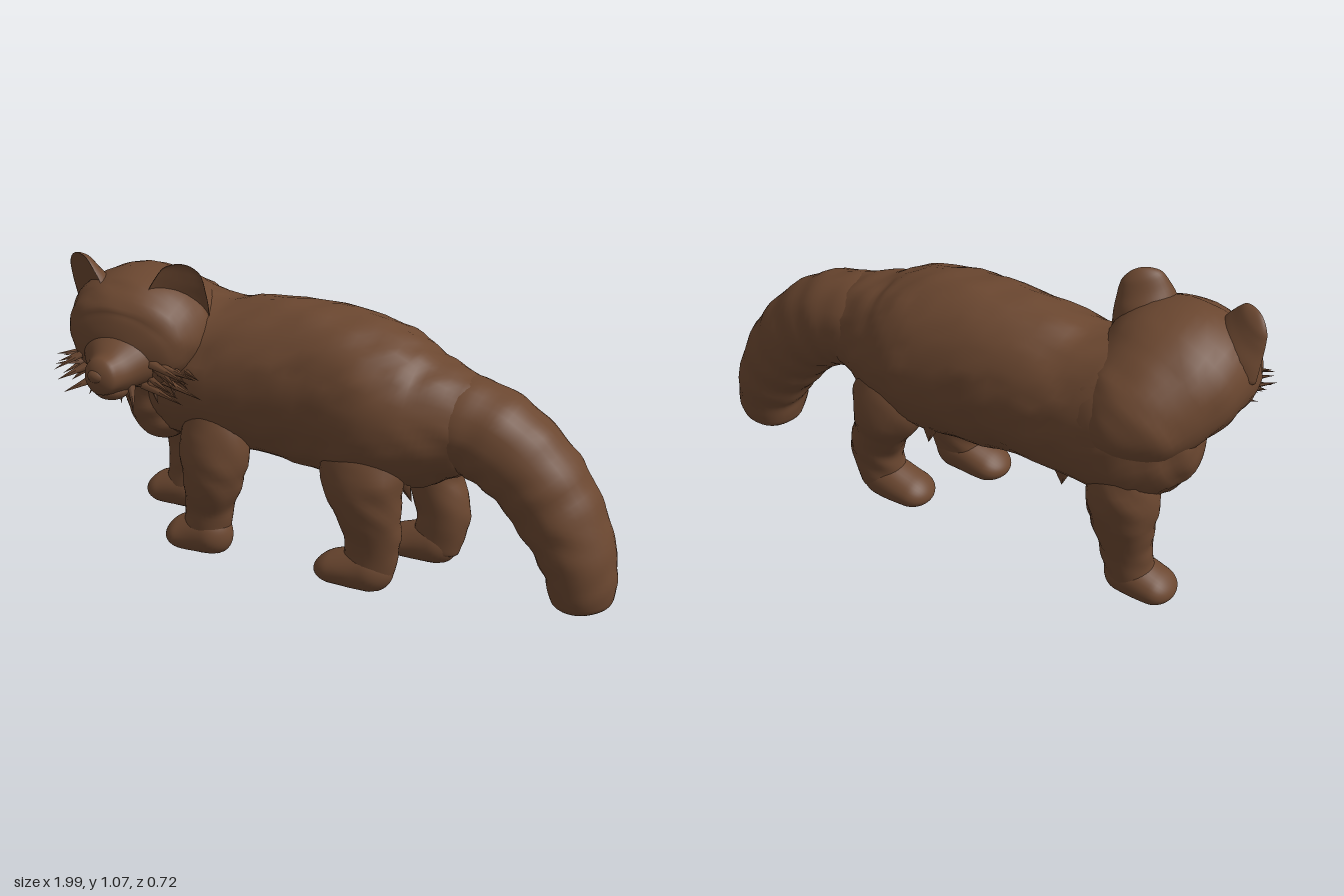
import * as THREE from 'three';

const brownFur = new THREE.MeshStandardMaterial({ color: 0x6b4730 });
brownFur.name = 'brown fur';

// Small seeded generator for tufts and whiskers
let seed = 7;
const rand = () => (seed = (seed * 16807) % 2147483647) / 2147483647;
const range = (a, b) => a + (b - a) * rand();

// Smooth tube through sections [x, y, z, radius in plane, radius along side], rounded at both ends, flat on the ground
function loft(sections, { side = [0, 0, 1], caps = [0.1, 0.1], rows = 40, cols = 32, fur = 0.004, dish = false, rings = 0, ground = 0.005 } = {}) {
  const path = new THREE.CatmullRomCurve3(sections.map(s => new THREE.Vector3(s[0], s[1], s[2])), false, 'catmullrom', 0.5);
  const size = new THREE.CatmullRomCurve3(sections.map(s => new THREE.Vector3(s[3], s[4], 0)), false, 'catmullrom', 0.5);
  const axis = new THREE.Vector3(...side);
  const pos = [], index = [];
  const round = (d, c) => (d >= c ? 1 : Math.sqrt(Math.max(0, 1 - (1 - d / c) ** 2)));
  for (let i = 0; i <= rows; i++) {
    const t = (1 - Math.cos(Math.PI * i / rows)) / 2;
    const c = path.getPoint(t), r = size.getPoint(t), dir = path.getTangent(t);
    const s = axis.clone().addScaledVector(dir, -axis.dot(dir)).normalize();
    const n = s.clone().cross(dir);
    const k = Math.max(0.002, round(t, caps[0]) * round(1 - t, caps[1])) * (1 + 0.015 * Math.sin(t * rings * Math.PI * 2));
    for (let j = 0; j < cols; j++) {
      const a = j / cols * Math.PI * 2;
      const depth = dish && Math.sin(a) > 0 ? -0.25 : 1;
      const p = c.clone().addScaledVector(n, r.x * k * Math.cos(a)).addScaledVector(s, r.y * k * Math.sin(a) * depth);
      const wave = Math.sin(p.x * 27 + 2 * Math.sin(p.y * 19)) * Math.sin(p.y * 33 + 2 * Math.sin(p.z * 21)) * Math.sin(p.z * 29 + p.x * 11);
      p.addScaledVector(p.clone().sub(c).normalize(), wave * fur * k);
      pos.push(p.x, Math.max(p.y, ground), p.z);
    }
  }
  for (let i = 0; i < rows; i++) for (let j = 0; j < cols; j++) {
    const a = i * cols + j, b = i * cols + (j + 1) % cols;
    index.push(a, b, a + cols, b, b + cols, a + cols);
  }
  const g = new THREE.BufferGeometry();
  g.setAttribute('position', new THREE.Float32BufferAttribute(pos, 3));
  g.setIndex(index);
  g.computeVertexNormals();
  return g;
}

export function createModel() {
  const model = new THREE.Group();
  model.name = 'furryAnimal';
  seed = 7;
  const add = (name, geometry, parent = model) => {
    const mesh = new THREE.Mesh(geometry, brownFur);
    mesh.name = name;
    parent.add(mesh);
    return mesh;
  };
  // Thin cone from a root towards a tip
  const spike = (name, root, tip, radius, parent) => {
    const a = new THREE.Vector3(...root), d = new THREE.Vector3(...tip).sub(a);
    const m = add(name, new THREE.ConeGeometry(radius, d.length(), 5), parent);
    m.position.copy(a).addScaledVector(d, 0.5);
    m.quaternion.setFromUnitVectors(new THREE.Vector3(0, 1, 0), d.normalize());
  };

  // Body, from chest to rump
  add('body', loft([
    [-0.86, 0.7, -0.08, 0.12, 0.1], [-0.78, 0.68, -0.1, 0.2, 0.17], [-0.65, 0.65, -0.115, 0.275, 0.235],
    [-0.45, 0.635, -0.1, 0.265, 0.245], [-0.25, 0.65, -0.095, 0.285, 0.24], [-0.05, 0.645, -0.1, 0.3, 0.245],
    [0.12, 0.625, -0.09, 0.29, 0.262], [0.27, 0.605, -0.085, 0.25, 0.235], [0.4, 0.605, -0.08, 0.2, 0.18],
    [0.52, 0.59, -0.078, 0.15, 0.14],
  ], { rows: 64, cols: 48, fur: 0.008, caps: [0.08, 0.06] }));
  add('chestFur', loft([[-0.7, 0.74, -0.03, 0.15, 0.18], [-0.7, 0.58, -0.06, 0.125, 0.18], [-0.65, 0.36, -0.08, 0.11, 0.17]],
    { caps: [0.3, 0.3], fur: 0.012 }));
  add('neck', loft([[-0.45, 0.6, -0.12, 0.2, 0.2], [-0.6, 0.67, -0.125, 0.24, 0.228], [-0.72, 0.74, -0.08, 0.21, 0.2], [-0.86, 0.75, -0.02, 0.14, 0.14]],
    { caps: [0.2, 0.2], fur: 0.006 }));

  // Tail, with faint rings
  add('tail', loft([
    [0.25, 0.61, -0.085, 0.165, 0.16], [0.45, 0.615, -0.08, 0.168, 0.165], [0.58, 0.57, -0.077, 0.166, 0.162],
    [0.7, 0.475, -0.074, 0.158, 0.158], [0.8, 0.34, -0.07, 0.147, 0.155], [0.872, 0.18, -0.064, 0.125, 0.144],
    [0.885, 0.018, -0.06, 0.105, 0.11],
  ], { rows: 70, caps: [0.1, 0.05], rings: 8, fur: 0.004, ground: 0.018 }));

  // Legs: tapering limb sections [x, y, z, rx, rz] flowing into a paw that points to -x
  const leg = (name, points, heel, toe, z) => {
    const group = new THREE.Group();
    group.name = name;
    model.add(group);
    add('limb', loft(points, { caps: [0.4, 0.05], fur: 0.006 }), group);
    add('paw', loft([[heel, 0.085, z, 0.09, 0.07], [heel * 0.55 + toe * 0.45, 0.066, z, 0.075, 0.08], [toe, 0.04, z, 0.043, 0.078]],
      { caps: [0.35, 0.22], fur: 0.002 }), group);
  };
  leg('leftFrontLeg', [[-0.43, 0.7, 0, 0.13, 0.08], [-0.425, 0.46, 0.07, 0.135, 0.1], [-0.435, 0.3, 0.085, 0.108, 0.098],
    [-0.455, 0.17, 0.073, 0.088, 0.075], [-0.47, 0.03, 0.08, 0.09, 0.07]], -0.37, -0.62, 0.08);
  leg('rightFrontLeg', [[-0.63, 0.7, -0.2, 0.14, 0.1], [-0.655, 0.46, -0.225, 0.13, 0.12], [-0.66, 0.3, -0.215, 0.107, 0.1],
    [-0.665, 0.17, -0.2, 0.09, 0.08], [-0.69, 0.03, -0.19, 0.09, 0.072]], -0.59, -0.845, -0.19);
  leg('leftHindLeg', [[0.14, 0.7, 0, 0.17, 0.08], [0.13, 0.46, 0.065, 0.165, 0.11], [0.155, 0.32, 0.08, 0.122, 0.1],
    [0.17, 0.18, 0.073, 0.102, 0.075], [0.15, 0.03, 0.08, 0.085, 0.068]], 0.25, -0.04, 0.08);
  leg('rightHindLeg', [[0.18, 0.68, -0.17, 0.17, 0.1], [0.235, 0.46, -0.225, 0.15, 0.125], [0.285, 0.32, -0.215, 0.1, 0.1],
    [0.325, 0.19, -0.2, 0.095, 0.08], [0.3, 0.03, -0.19, 0.085, 0.068]], 0.385, 0.11, -0.19);

  // Head, turned to +z, with its back reaching to the shoulders
  const head = new THREE.Group();
  head.name = 'head';
  model.add(head);
  const hx = -0.715;
  add('skull', loft([
    [-0.6, 0.66, -0.345, 0.13, 0.13], [-0.64, 0.705, -0.23, 0.17, 0.195], [-0.685, 0.765, -0.1, 0.2, 0.235],
    [hx, 0.81, 0, 0.207, 0.255], [hx, 0.8, 0.09, 0.194, 0.25], [hx, 0.775, 0.17, 0.152, 0.205], [hx, 0.765, 0.235, 0.1, 0.13],
  ], { side: [1, 0, 0], rows: 48, cols: 40, caps: [0.2, 0.12], fur: 0.005 }), head);
  add('muzzle', loft([[hx, 0.76, 0.08, 0.13, 0.2], [hx, 0.748, 0.19, 0.105, 0.145], [hx, 0.735, 0.28, 0.077, 0.085], [hx - 0.01, 0.74, 0.355, 0.058, 0.055]],
    { side: [1, 0, 0], caps: [0.1, 0.14], fur: 0.003 }), head);
  const nose = add('nose', new THREE.SphereGeometry(0.03, 16, 12), head);
  nose.position.set(hx - 0.01, 0.745, 0.342);
  nose.scale.set(1.1, 0.8, 0.7);
  const chin = add('chin', new THREE.SphereGeometry(0.06, 16, 12), head);
  chin.position.set(hx, 0.675, 0.265);
  chin.scale.set(1.1, 0.7, 1);

  for (const s of [-1, 1]) {
    const sideName = s > 0 ? 'left' : 'right';
    // Ears: upright, turned slightly outwards, dished on the front
    const lift = s > 0 ? 0.025 : 0;
    add(sideName + 'Ear', loft([
      [hx + s * 0.15 - 0.01, 0.82, 0.06, 0.12, 0.1], [hx + s * 0.17 - 0.012, 0.92 + lift, 0.07, 0.105, 0.085],
      [hx + s * 0.19 - 0.018, 0.99 + lift, 0.07, 0.083, 0.05], [hx + s * 0.212 - 0.024, 1.052 + lift, 0.066, 0.052, 0.022],
    ], { side: [s * 0.5, 0, 0.87], caps: [0.1, 0.18], dish: true, fur: 0.001, rows: 30 }), head);
    const eye = add(sideName + 'Eye', new THREE.SphereGeometry(0.022, 12, 10), head);
    eye.position.set(hx + s * 0.095, 0.82, 0.2);
    // Cheek whiskers
    for (let i = 0; i < 16; i++) {
      const y = range(0.66, 0.76), z = range(0.11, 0.24);
      spike(sideName + 'Whisker', [hx + s * range(0.08, 0.16), y, z - 0.03],
        [hx + s * range(0.17, 0.26) + (s > 0 ? range(0, 0.07) : 0), y - range(-0.01, 0.06), z + range(0, 0.08)], 0.018, head);
    }
  }
  // Chin whiskers
  for (let i = 0; i < 10; i++) {
    const x = hx + range(-0.12, 0.12), z = range(0.16, 0.26);
    spike('chinWhisker', [x, 0.69, z], [x + (x - hx) * 0.4, range(0.61, 0.64), z + range(0, 0.05)], 0.015, head);
  }

  // Ragged fur on the belly, elbows and thighs
  for (let i = 0; i < 36; i++) {
    const x = i < 18 ? range(-0.7, -0.4) : range(0, 0.28);
    const z = range(-0.27, 0.09);
    spike('furTuft', [x, 0.44, z], [x + range(-0.01, 0.04), range(0.34, 0.36), z], 0.035);
  }
  return model;
}
